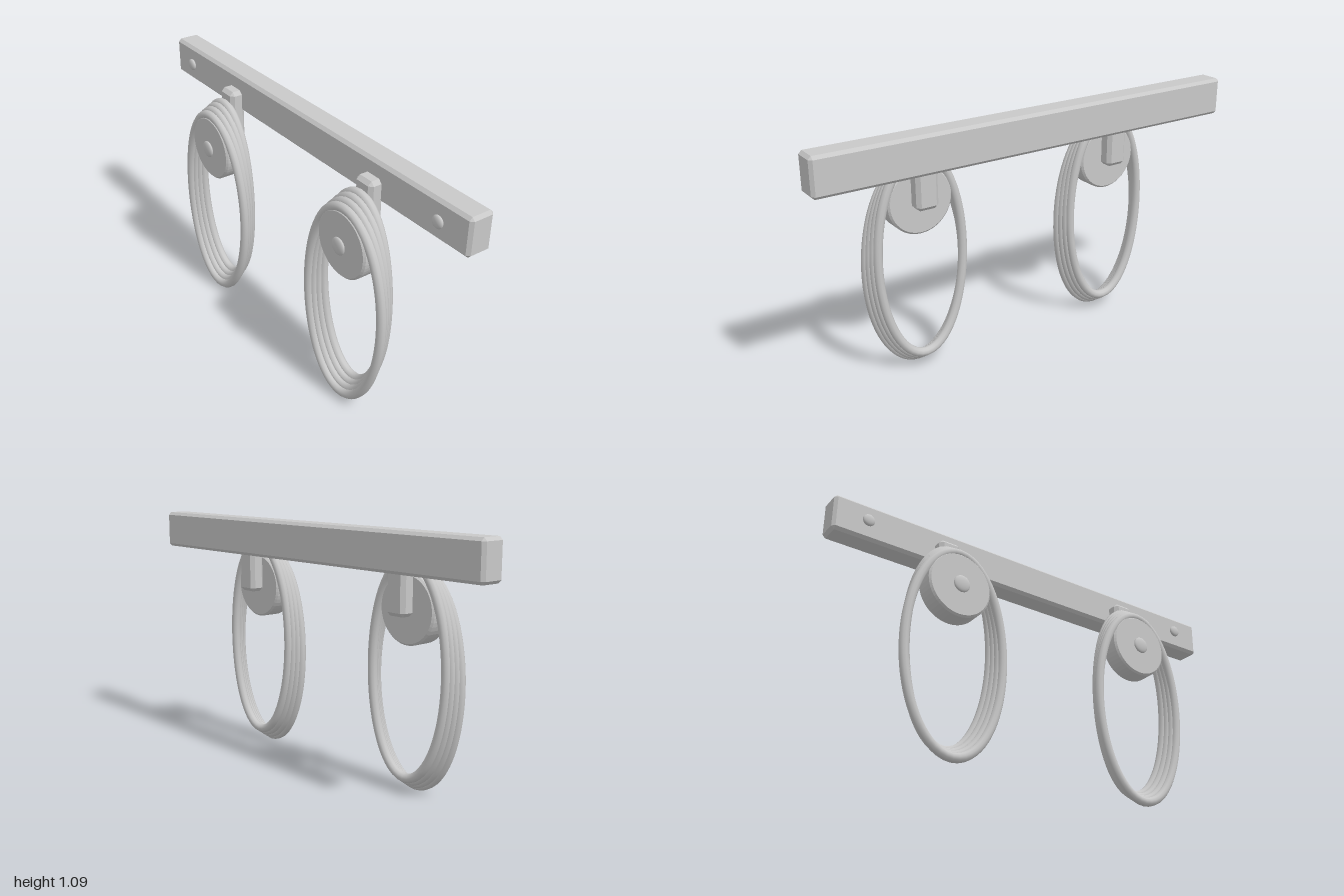
import * as THREE from 'three';
import { ConvexGeometry } from 'three/addons/geometries/ConvexGeometry.js';

const grey = new THREE.MeshStandardMaterial({ color: 0xc8c8c8 });
grey.name = 'plain grey';

function add(parent, name, geometry, x, y, z) {
  const mesh = new THREE.Mesh(geometry, grey);
  mesh.name = name;
  mesh.position.set(x, y, z);
  parent.add(mesh);
  return mesh;
}

// Box with flat chamfers on every edge
function chamferBox(w, h, d, c) {
  const pts = [];
  for (const sx of [-1, 1]) for (const sy of [-1, 1]) for (const sz of [-1, 1])
    for (let axis = 0; axis < 3; axis++) {
      const half = [w / 2, h / 2, d / 2].map((s, i) => (i === axis ? s : s - c));
      pts.push(new THREE.Vector3(sx * half[0], sy * half[1], sz * half[2]));
    }
  return new ConvexGeometry(pts);
}

// Flattened ball used as a bolt head
function boltHead(radius, depth) {
  return new THREE.SphereGeometry(radius, 24, 14).scale(1, 1, depth / radius);
}

// Disc with a thin chamfered rim, axis along z
function discGeometry(radius, depth, c) {
  const shape = new THREE.Shape().absarc(0, 0, radius - c, 0, Math.PI * 2);
  return new THREE.ExtrudeGeometry(shape, {
    depth: depth - 2 * c, bevelEnabled: true, bevelThickness: c, bevelSize: c,
    bevelSegments: 1, curveSegments: 24,
  }).translate(0, 0, c);
}

// One rope turn: f runs from 0 (front) to 1 (back)
function ropeTurn(f) {
  const top = THREE.MathUtils.lerp(0.92, 0.964, f);
  const bottom = THREE.MathUtils.lerp(0.02, 0.066, f);
  const halfWidth = THREE.MathUtils.lerp(0.23, 0.2, f);
  const pts = [];
  for (let i = 0; i < 40; i++) {
    const a = (i / 40) * Math.PI * 2;
    const cx = Math.cos(a), sy = Math.sin(a);
    const spread = 0.033 * (1 - 0.2 * cx * cx);
    pts.push(new THREE.Vector3(
      halfWidth * cx,
      (top + bottom) / 2 + sy * (top - bottom) / 2,
      0.068 + spread * (1 - 2 * f) - 0.004 * cx,
    ));
  }
  return new THREE.TubeGeometry(new THREE.CatmullRomCurve3(pts, true), 80, 0.02, 10, true);
}

export function createModel() {
  const model = new THREE.Group();
  model.name = 'ropeRack';

  // Wall beam
  add(model, 'beam', chamferBox(2, 0.165, 0.11, 0.013), 0, 1.0085, -0.0825);

  for (const side of [-1, 1]) {
    add(model, 'beamBolt', boltHead(0.027, 0.012), side * 0.85, 1.01, -0.017);

    // Hanger: bracket, disc, bolt and coiled rope
    const hanger = new THREE.Group();
    hanger.name = side > 0 ? 'leftHanger' : 'rightHanger';
    hanger.position.x = side * 0.483;
    add(hanger, 'bracket', chamferBox(0.1, 0.28, 0.07, 0.016), 0, 0.884, -0.01);
    add(hanger, 'disc', discGeometry(0.146, 0.095, 0.008), 0, 0.766, 0.025);
    add(hanger, 'discBolt', boltHead(0.038, 0.012), 0, 0.764, 0.13);

    const coil = new THREE.Group();
    coil.name = 'ropeCoil';
    for (let i = 0; i < 4; i++) add(coil, 'ropeTurn', ropeTurn(i / 3), 0, 0, 0);
    hanger.add(coil);
    model.add(hanger);
  }
  return model;
}
